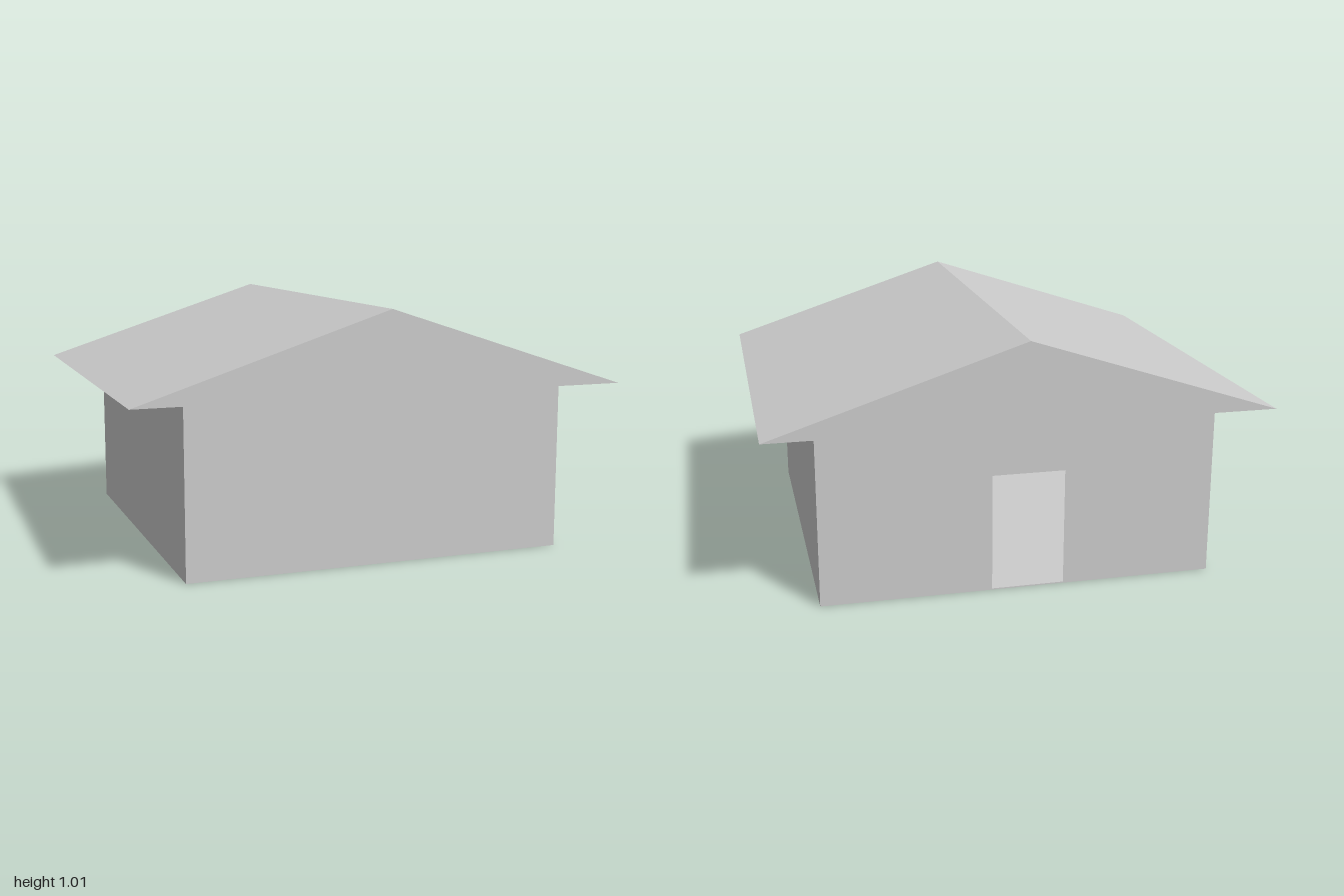
import * as THREE from 'three';

const X0 = -0.775, X1 = 0.8;      // wall extents, left to right on screen
const Z0 = -0.815, Z1 = 0.765;    // back and front walls
const FLOOR = 0.005, EAVES = 0.69, RIDGE = 1.015;
const ROOF_X = 1, ROOF_Z = 0.89;
const DOOR = { x0: -0.165, x1: 0.125, top: 0.475 };

export function createModel() {
  const house = new THREE.Group();
  house.name = 'house';
  const solid = new THREE.MeshStandardMaterial({ color: 0xcccccc, flatShading: true });
  const thin = new THREE.MeshStandardMaterial({ color: 0xcccccc, flatShading: true, side: THREE.DoubleSide });

  const add = (name, geometry, material, x, y, z, turn = 0) => {
    const mesh = new THREE.Mesh(geometry, material);
    mesh.name = name;
    mesh.position.set(x, y, z);
    mesh.rotation.y = turn;
    house.add(mesh);
  };

  const width = X1 - X0, depth = Z1 - Z0, height = EAVES - FLOOR;
  const midX = (X0 + X1) / 2, midZ = (Z0 + Z1) / 2, midY = (FLOOR + EAVES) / 2;

  // Thin floor plate
  add('floor', new THREE.BoxGeometry(width, FLOOR, depth), solid, midX, FLOOR / 2, midZ);

  // Plain sheet walls: front and both sides
  add('frontWall', new THREE.PlaneGeometry(width, height), thin, midX, midY, Z1);
  add('leftWall', new THREE.PlaneGeometry(depth, height), thin, X1, midY, midZ, Math.PI / 2);
  add('rightWall', new THREE.PlaneGeometry(depth, height), thin, X0, midY, midZ, -Math.PI / 2);

  // Back wall with the doorway cut up from the floor
  // (x is mirrored because the sheet is turned to face backwards)
  const back = new THREE.Shape([
    [-X1, FLOOR], [-DOOR.x1, FLOOR], [-DOOR.x1, DOOR.top], [-DOOR.x0, DOOR.top],
    [-DOOR.x0, FLOOR], [-X0, FLOOR], [-X0, EAVES], [-X1, EAVES],
  ].map(([x, y]) => new THREE.Vector2(x, y)));
  add('backWall', new THREE.ShapeGeometry(back), thin, 0, 0, Z0, Math.PI);

  // Solid gable roof, its underside closing the room
  const gable = new THREE.Shape([
    new THREE.Vector2(-ROOF_X, EAVES),
    new THREE.Vector2(ROOF_X, EAVES),
    new THREE.Vector2(0, RIDGE),
  ]);
  const roof = new THREE.ExtrudeGeometry(gable, { depth: 2 * ROOF_Z, bevelEnabled: false });
  add('roof', roof, solid, 0, 0, -ROOF_Z);

  return house;
}
